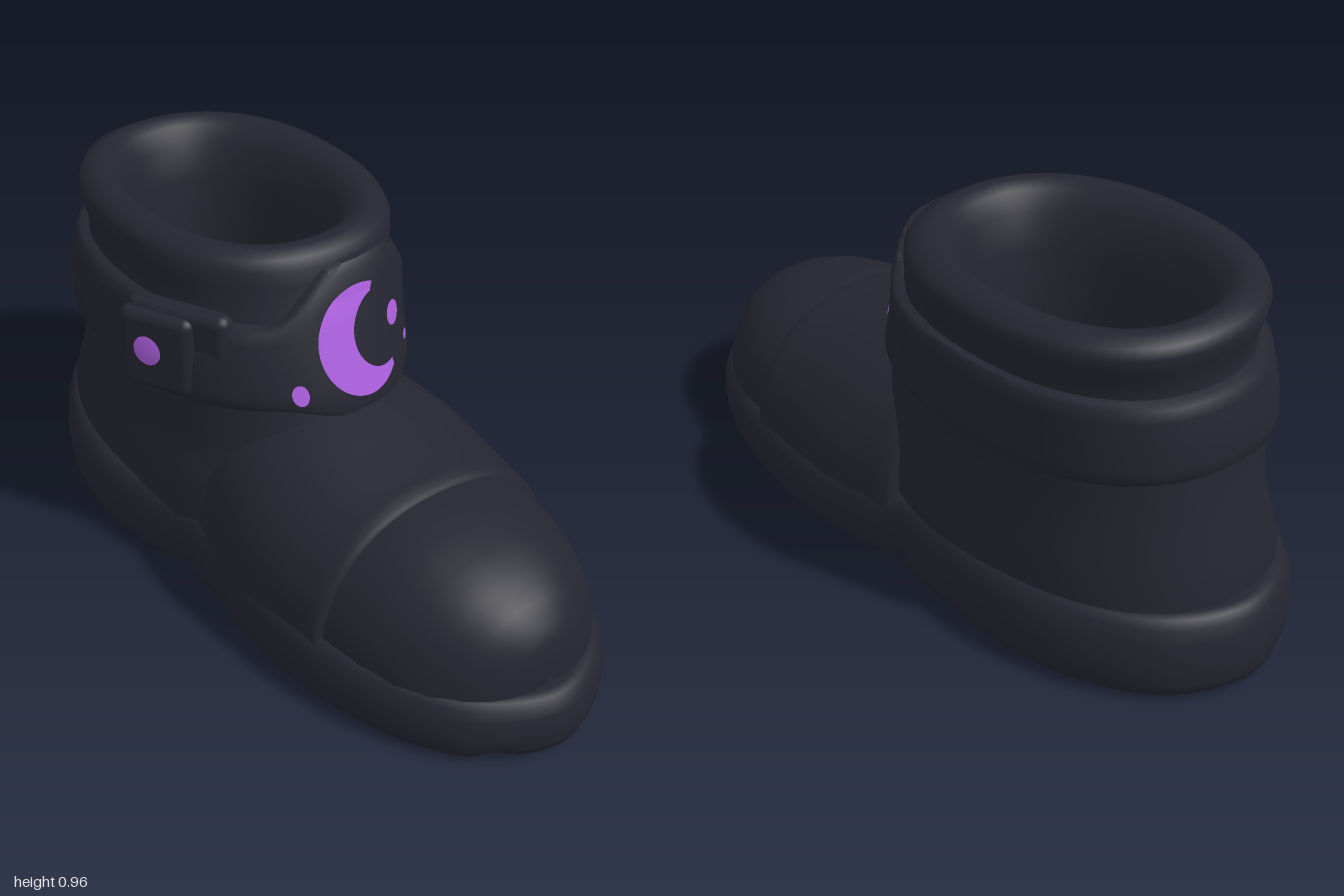
import * as THREE from 'three';
import { toCreasedNormals } from 'three/addons/utils/BufferGeometryUtils.js';
import { RoundedBoxGeometry } from 'three/addons/geometries/RoundedBoxGeometry.js';

const V = (x, y, z) => new THREE.Vector3(x, y, z);
const N = 2.25; // roundness of the superellipse sections
const SEG = 72;
const sp = (v) => Math.sign(v) * Math.abs(v) ** (2 / N);
const smooth = (v) => THREE.MathUtils.smoothstep(v, 0, 1);

// Skin a list of rings of points
function loft(rings, closed = true, crease = 0.9) {
  const n = rings[0].length, pos = [], idx = [];
  rings.forEach((r) => r.forEach((p) => pos.push(p.x, p.y, p.z)));
  for (let i = 0; i < rings.length - 1; i++) {
    for (let j = 0; j < (closed ? n : n - 1); j++) {
      const k = (j + 1) % n;
      const a = i * n + j, b = i * n + k, c = a + n, d = b + n;
      idx.push(a, c, b, b, c, d);
    }
  }
  const g = new THREE.BufferGeometry();
  g.setAttribute('position', new THREE.Float32BufferAttribute(pos, 3));
  g.setIndex(idx);
  return toCreasedNormals(g, crease);
}

// Linear lookup in rows whose first entry rises
function lookup(rows, v) {
  let i = 0;
  while (i < rows.length - 2 && v > rows[i + 1][0]) i++;
  const a = rows[i], b = rows[i + 1];
  const f = THREE.MathUtils.clamp((v - a[0]) / (b[0] - a[0]), 0, 1);
  return a.map((q, k) => q + (b[k] - q) * f);
}

// Shaft outline: y, left x, right x, back z, front z
const SHAFT = [
  [0.15, -0.385, 0.365, -0.935, 0.24], [0.28, -0.385, 0.365, -0.93, 0.24],
  [0.36, -0.362, 0.358, -0.912, 0.23], [0.44, -0.343, 0.347, -0.895, 0.21],
  [0.55, -0.348, 0.345, -0.875, 0.17], [0.7, -0.343, 0.35, -0.86, 0.125],
  [0.8, -0.325, 0.36, -0.835, 0.095], [0.84, -0.322, 0.368, -0.84, 0.08],
  [0.88, -0.33, 0.382, -0.855, 0.07], [0.92, -0.332, 0.389, -0.865, 0.06],
  [0.945, -0.32, 0.378, -0.855, 0.045], [0.96, -0.285, 0.34, -0.82, 0.01],
];
function shaftOval(y, off) {
  const [, l, r, b, f] = lookup(SHAFT, y);
  return { cx: (l + r) / 2, cz: (b + f) / 2, a: (r - l) / 2 + off, c: (f - b) / 2 + off };
}
function shaftPoint(t, y, off = 0) {
  const o = shaftOval(y, off);
  return V(o.cx + o.a * sp(Math.cos(t)), y, o.cz + o.c * sp(Math.sin(t)));
}
const around = (fn) => Array.from({ length: SEG }, (_, j) => fn((j / SEG) * Math.PI * 2));

function shaftGeometry() {
  const rings = SHAFT.map((r) => around((t) => shaftPoint(t, r[0])));
  // rolled rim, inner wall and floor: y, inset
  [[0.96, 0.03], [0.945, 0.06], [0.9, 0.09], [0.8, 0.115], [0.6, 0.125], [0.42, 0.135], [0.38, 0.17]]
    .forEach(([y, s]) => rings.push(around((t) => shaftPoint(t, 0.955, -s).setY(y))));
  rings.push(around(() => V(0.02, 0.38, -0.4)));
  // slight tilt of the top edge
  rings.forEach((r) => r.forEach((p) => { p.y -= smooth((p.y - 0.85) / 0.1) * p.x * 0.02; }));
  return loft(rings, true, 1.2);
}

// Ankle band that widens to a shield at the front
function strapGeometry() {
  const edges = (t) => {
    const p = shaftPoint(t, 0.68, 0.03);
    const bump = Math.sin(t) > 0 ? smooth((0.27 - Math.abs(p.x - 0.06)) / 0.2) : 0;
    return [0.565 + 0.035 * ((p.z + 0.35) / 0.55) ** 2 - 0.045 * bump, 0.795 + 0.125 * bump];
  };
  const rows = [[0, -0.02], [0, 0.02], [0.05, 0.03], [0.2, 0.031], [0.35, 0.031], [0.5, 0.031],
    [0.65, 0.031], [0.8, 0.031], [0.95, 0.03], [1, 0.02], [1, -0.02]];
  return loft(rows.map(([f, off]) => around((t) => {
    const [lo, hi] = edges(t);
    return shaftPoint(t, lo + (hi - lo) * f, off);
  })));
}

// Arched shell along z, from toe to back: z, half width, top y
function archGeometry(rows) {
  return loft(rows.map(([z, w, h]) => Array.from({ length: 41 }, (_, j) => {
    const t = (j / 40) * Math.PI;
    return V(0.01 + w * sp(Math.cos(t)), 0.14 + (h - 0.14) * sp(Math.sin(t)), z);
  })), false, 1);
}

// Sole from a foot outline
function soleGeometry() {
  const outline = [[0.39, -0.4], [0.38, -0.22], [0.37, -0.08], [0.395, 0.05], [0.422, 0.22], [0.412, 0.4],
    [0.375, 0.6], [0.3, 0.8], [0.2, 0.925], [0.02, 1], [-0.18, 0.92], [-0.28, 0.8], [-0.36, 0.6],
    [-0.392, 0.4], [-0.392, 0.2], [-0.37, 0.03], [-0.372, -0.1], [-0.4, -0.22], [-0.427, -0.42],
    [-0.4, -0.6], [-0.33, -0.77], [-0.2, -0.93], [0, -1], [0.2, -0.92], [0.32, -0.76], [0.375, -0.6]];
  const pts = new THREE.CatmullRomCurve3(outline.map(([x, z]) => V(x, 0, z)), true).getSpacedPoints(160).slice(0, 160);
  const notch = (p) => Math.exp(-(((p.z + 0.1) / 0.035) ** 2))
    + (p.z > 0.8 ? Math.exp(-(((Math.abs(p.x - 0.01) - 0.16) / 0.025) ** 2)) : 0);
  // height fraction, inset, notch depth
  const rows = [[0, 0.4, 0], [0, 0.07, 0], [0.01, 0.035, 0.035], [0.1, 0.014, 0.025], [0.25, 0.003, 0.008], [0.5, 0, 0],
    [0.75, 0.005, 0], [0.9, 0.016, 0], [0.98, 0.03, 0], [1, 0.05, 0], [0.96, 0.12, 0], [0.96, 0.4, 0]];
  return loft(rows.map(([f, inset, d]) => pts.map((p) => {
    const top = Math.min(0.24, 0.213 - 0.035 * p.z);
    return V(p.x * (1 - inset / 0.4), 0.003 + f * top + d * notch(p), p.z * (1 - (inset >= 0.4 ? 1 : inset)));
  })));
}

// Thin painted patch laid on the front of the strap: fn(u, v) gives x, y
function decal(fn, nu, nv) {
  const rings = [];
  for (let i = 0; i <= nv; i++) {
    rings.push(Array.from({ length: nu + 1 }, (_, j) => {
      const [x, y] = fn(j / nu, i / nv);
      const o = shaftOval(y, 0.034);
      return V(x, y, o.cz + o.c * (1 - Math.abs((x - o.cx) / o.a) ** N) ** (1 / N));
    }));
  }
  return loft(rings, false);
}

export function createModel() {
  const boot = new THREE.Group();
  boot.name = 'boot';
  const dark = new THREE.MeshStandardMaterial({ color: 0x242530 });
  dark.name = 'darkLeather';
  const purple = new THREE.MeshStandardMaterial({ color: 0xac5fdf, side: THREE.DoubleSide });
  purple.name = 'purple';
  const add = (name, geo, mat = dark) => {
    const m = new THREE.Mesh(geo, mat);
    m.name = name;
    boot.add(m);
    return m;
  };

  add('sole', soleGeometry());
  add('shaft', shaftGeometry());
  add('strap', strapGeometry());
  add('toeCap', archGeometry([[0.932, 0.01, 0.2], [0.93, 0.06, 0.26], [0.92, 0.11, 0.305], [0.9, 0.155, 0.34],
    [0.86, 0.21, 0.382], [0.8, 0.262, 0.42], [0.72, 0.305, 0.45], [0.62, 0.336, 0.47], [0.54, 0.35, 0.479], [0.46, 0.36, 0.482]]));
  add('vamp', archGeometry([[0.505, 0.35, 0.47], [0.5, 0.37, 0.488], [0.488, 0.376, 0.496], [0.46, 0.378, 0.498],
    [0.38, 0.387, 0.512], [0.28, 0.395, 0.532], [0.18, 0.396, 0.555], [0.08, 0.38, 0.57], [0, 0.365, 0.57],
    [-0.05, 0.358, 0.56], [-0.065, 0.35, 0.55], [-0.07, 0.31, 0.5]]));

  // Buckle on the right side of the strap
  const place = (m, x, y, z) => {
    m.position.set(x, y, z);
    m.rotation.y = -1.1;
  };
  place(add('buckleBase', new RoundedBoxGeometry(0.29, 0.27, 0.06, 4, 0.028)), -0.315, 0.69, -0.13);
  place(add('bucklePlate', new RoundedBoxGeometry(0.21, 0.23, 0.06, 4, 0.028)), -0.358, 0.69, -0.165);
  const gem = add('buckleGem', new THREE.SphereGeometry(1, 28, 18), purple);
  place(gem, -0.384, 0.695, -0.175);
  gem.scale.set(0.06, 0.065, 0.015);

  // Crescent and dots on the shield
  const D = Math.PI / 180;
  add('crescent', decal((u, v) => {
    const o = (68 + 243 * u) * D, i = (103 + 182 * u) * D;
    const ox = 0.053 + 0.138 * Math.cos(o), oy = 0.726 + 0.14 * Math.sin(o);
    const ix = 0.115 + 0.095 * Math.cos(i), iy = 0.737 + 0.1 * Math.sin(i);
    return [ox + (ix - ox) * v, oy + (iy - oy) * v];
  }, 40, 6), purple);
  [[0.167, 0.745, 0.026, 0.032], [0.225, 0.65, 0.012, 0.013], [-0.147, 0.632, 0.02, 0.027]].forEach(([x, y, rx, ry]) => {
    add('dot', decal((u, v) => [x + rx * (1 - v) * Math.cos(u * 2 * Math.PI), y + ry * (1 - v) * Math.sin(u * 2 * Math.PI)], 20, 3), purple);
  });
  return boot;
}
